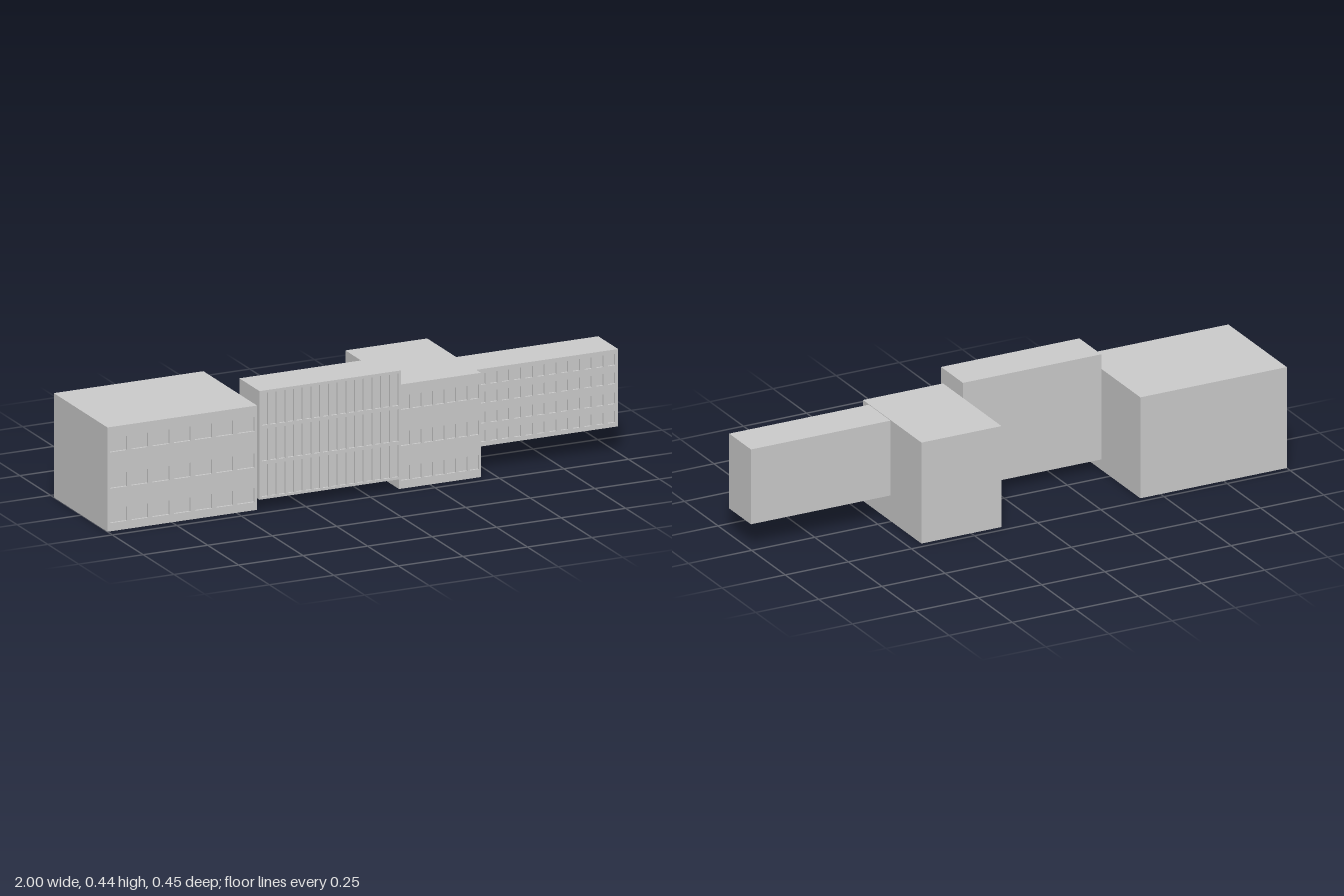
import * as THREE from 'three';
import { mergeGeometries } from 'three/addons/utils/BufferGeometryUtils.js';

const material = new THREE.MeshStandardMaterial({ color: 0xcccccc, flatShading: true, side: THREE.DoubleSide });

// Box without the listed faces (0 +x, 1 -x, 2 +y, 3 -y, 4 +z, 5 -z)
function openBox(x0, x1, y0, y1, z0, z1, missing) {
  const g = new THREE.BoxGeometry(x1 - x0, y1 - y0, z1 - z0);
  g.setIndex([...g.index.array].filter((_, i) => !missing.includes(Math.floor(i / 6))));
  g.translate((x0 + x1) / 2, (y0 + y1) / 2, (z0 + z1) / 2);
  return g;
}

function rectangle(path, x0, x1, y0, y1) {
  return path.moveTo(x0, y0).lineTo(x1, y0).lineTo(x1, y1).lineTo(x0, y1).closePath();
}

// Hollow block whose front wall carries a grid of shallow recessed windows
function createBlock({ name, x, y, z, columns, margin, fill, rows, openBottom }) {
  const group = new THREE.Group();
  group.name = name;
  const depth = 0.008;
  const wall = rectangle(new THREE.Shape(), x[0], x[1], y[0], y[1]);
  const recesses = [];
  const pitch = (x[1] - x[0] - 2 * margin) / (columns - 1 + fill);
  for (const [bottom, top] of rows) {
    for (let i = 0; i < columns; i++) {
      const left = x[0] + margin + i * pitch;
      const right = left + pitch * fill;
      wall.holes.push(rectangle(new THREE.Path(), left, right, bottom, top));
      recesses.push(openBox(left, right, bottom, top, z[1] - depth, z[1], [4]));
    }
  }
  const add = (part, geometry) => {
    const mesh = new THREE.Mesh(geometry, material);
    mesh.name = part;
    group.add(mesh);
  };
  add('walls and roof', openBox(...x, ...y, ...z, openBottom ? [3, 4] : [4]));
  add('front wall', new THREE.ShapeGeometry(wall).translate(0, 0, z[1]));
  add('windows', mergeGeometries(recesses));
  return group;
}

export function createModel() {
  const model = new THREE.Group();
  model.name = 'building';
  const storeys = [[0.03, 0.082], [0.157, 0.209], [0.29, 0.342]];

  // Two deep blocks standing on the ground, open underneath
  const deep = { y: [0, 0.383], z: [-0.225, 0.21], rows: storeys, columns: 7, openBottom: true };
  model.add(createBlock({ ...deep, name: 'large block', x: [-1, -0.42], margin: 0.01, fill: 0.79 }));
  model.add(createBlock({ ...deep, name: 'small block', x: [0.13, 0.447], margin: 0.008, fill: 0.78 }));

  // Raised hall between them with tall narrow windows
  model.add(createBlock({
    name: 'central hall', x: [-0.418, 0.13], y: [0.041, 0.44], z: [0.062, 0.225],
    columns: 16, margin: 0.009, fill: 0.7,
    rows: [[0.05, 0.168], [0.181, 0.299], [0.312, 0.43]],
  }));

  // Raised end wing, two identical floors stacked
  for (const [name, base] of [['lower wing', 0.097], ['upper wing', 0.239]]) {
    model.add(createBlock({
      name, x: [0.447, 1], y: [base, base + 0.142], z: [0.005, 0.167],
      columns: 12, margin: 0.012, fill: 0.6,
      rows: [[base + 0.016, base + 0.058], [base + 0.084, base + 0.126]],
    }));
  }
  return model;
}
